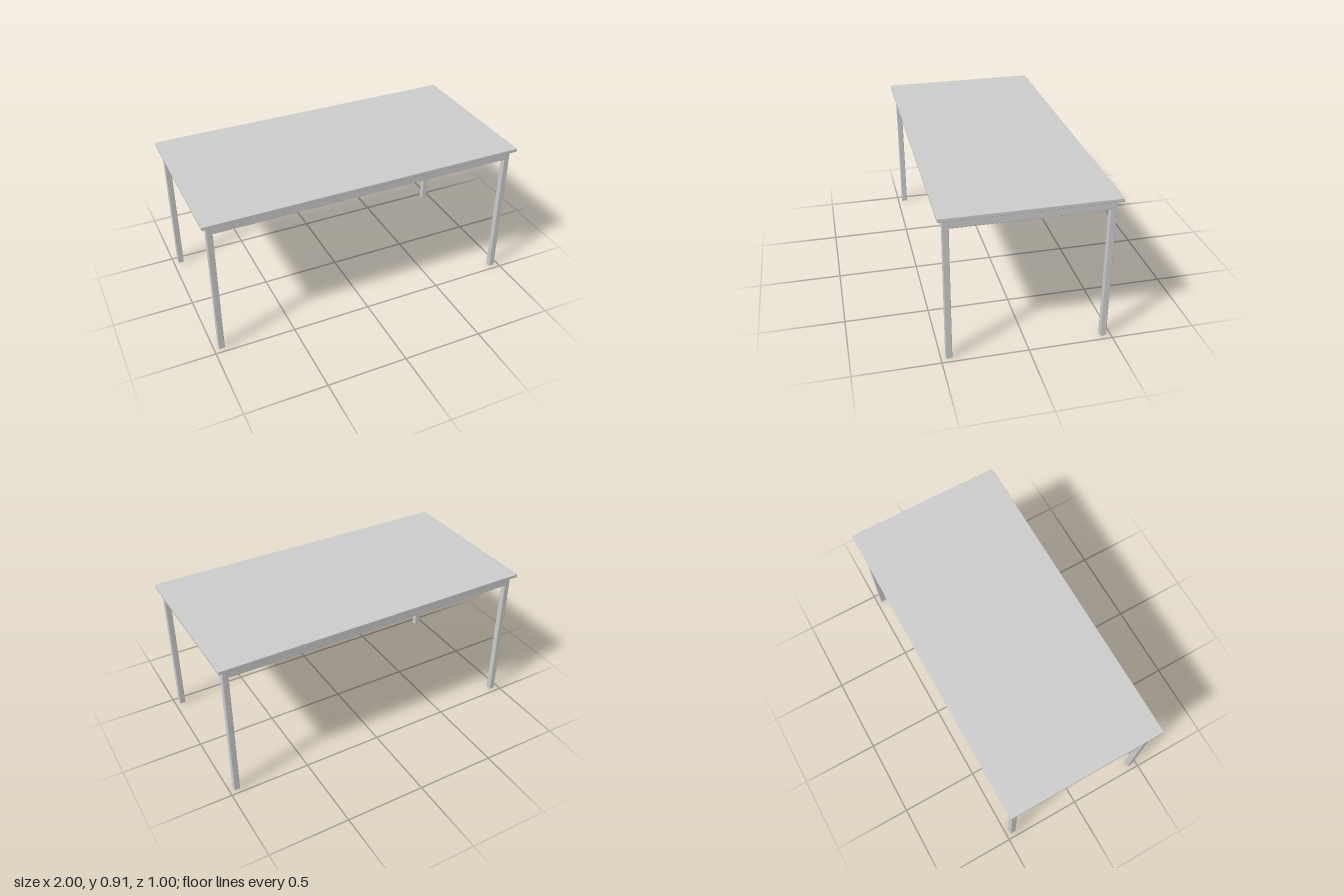
import * as THREE from 'three';
import { RoundedBoxGeometry } from 'three/addons/geometries/RoundedBoxGeometry.js';

const HEIGHT = 0.914, TOP = 0.022;      // overall height, table top thickness
const LEG = 0.036;                      // square leg width, also rail thickness
const LEG_X = 0.953, LEG_Z = 0.454;     // leg centres
const RAIL = 0.058;                     // rail height

export function createModel() {
  const table = new THREE.Group();
  table.name = 'table';
  const material = new THREE.MeshStandardMaterial({ color: 0xcccccc });

  // Box with slightly softened edges, placed by its centre
  const addBox = (name, [w, h, d], [x, y, z]) => {
    const mesh = new THREE.Mesh(new RoundedBoxGeometry(w, h, d, 2, 0.003), material);
    mesh.name = name;
    mesh.position.set(x, y, z);
    table.add(mesh);
  };

  const under = HEIGHT - TOP;
  addBox('tableTop', [2, TOP, 1], [0, HEIGHT - TOP / 2, 0]);

  // Legs at the four corners
  for (const [sideName, sx] of [['Left', 1], ['Right', -1]])
    for (const [endName, sz] of [['front', 1], ['back', -1]])
      addBox(`${endName}${sideName}Leg`, [LEG, under, LEG], [sx * LEG_X, under / 2, sz * LEG_Z]);

  // Rails flush with the legs, running between them under the top
  const railY = under - RAIL / 2;
  for (const [name, s] of [['frontRail', 1], ['backRail', -1]])
    addBox(name, [2 * LEG_X - LEG + 0.008, RAIL, LEG], [0, railY, s * LEG_Z]);
  for (const [name, s] of [['leftRail', 1], ['rightRail', -1]])
    addBox(name, [LEG, RAIL, 2 * LEG_Z - LEG + 0.008], [s * LEG_X, railY, 0]);

  return table;
}
